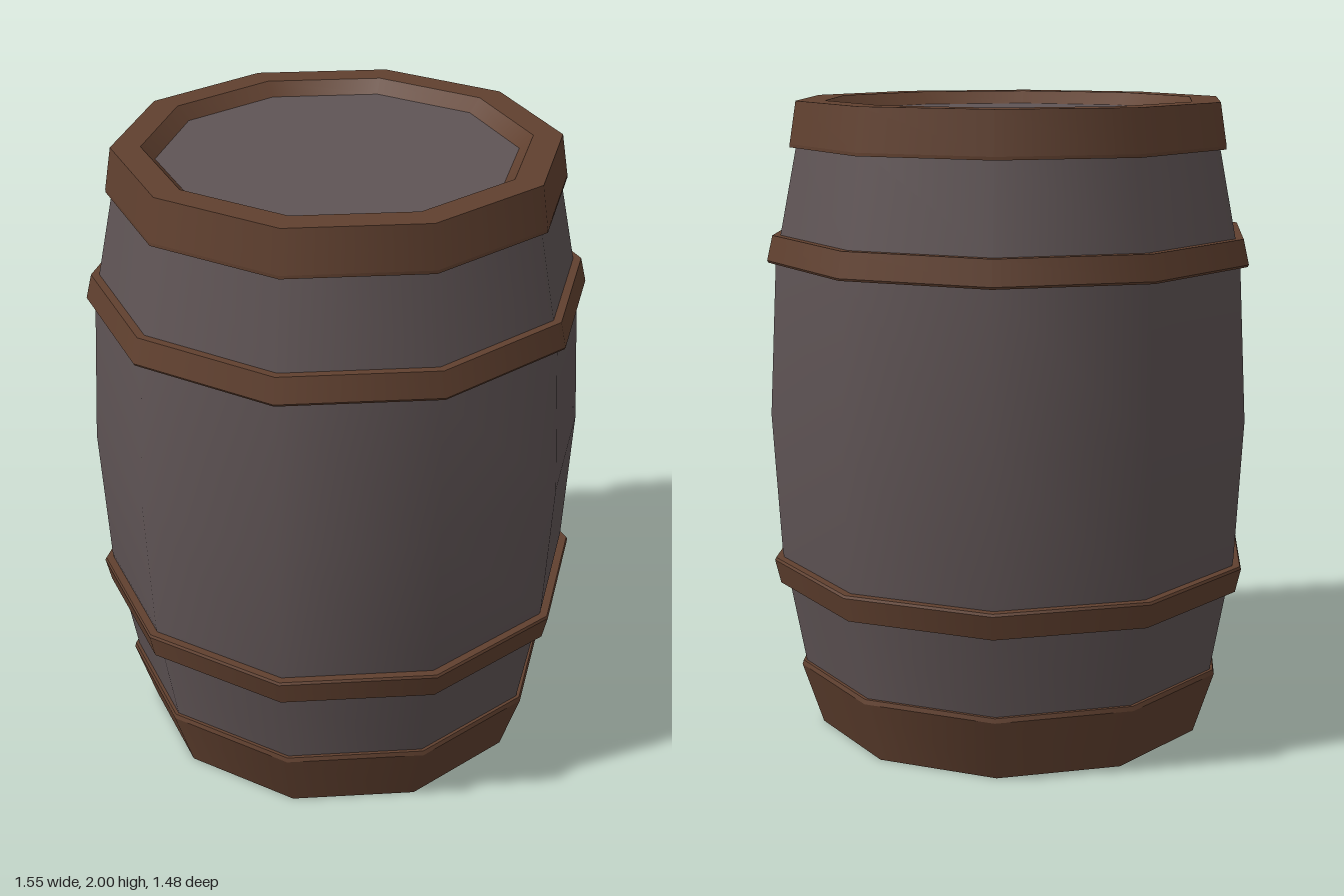
import * as THREE from 'three';
import { mergeGeometries } from 'three/addons/utils/BufferGeometryUtils.js';

const SIDES = 10;

// Ten-sided lathe with a corner on +x; profile points are [radius, y]
function lathe(points) {
  const profile = points.map(([r, y]) => new THREE.Vector2(r, y));
  return new THREE.LatheGeometry(profile, SIDES, Math.PI / 2);
}

// Ring whose profile edges stay sharp: one lathe strip per profile segment
function sharpRing(points) {
  const strips = [];
  for (let i = 0; i < points.length - 1; i++) strips.push(lathe([points[i], points[i + 1]]));
  return mergeGeometries(strips);
}

export function createModel() {
  const group = new THREE.Group();
  const wood = new THREE.MeshStandardMaterial({ color: 0x5f5455 });
  wood.name = 'greyWood';
  const band = new THREE.MeshStandardMaterial({ color: 0x60402f });
  band.name = 'rustyBrown';

  const add = (name, geometry, material) => {
    const mesh = new THREE.Mesh(geometry, material);
    mesh.name = name;
    group.add(mesh);
  };

  // Bulging staves
  add('staves', lathe([
    [0.675, 0.18], [0.733, 0.5], [0.75, 0.58], [0.775, 1.03],
    [0.75, 1.5], [0.733, 1.59], [0.675, 1.88],
  ]), wood);

  // Rims, with a bevel leading in to the recessed ends
  add('topRim', sharpRing([
    [0.66, 1.86], [0.698, 1.86], [0.698, 1.87], [0.677, 2], [0.587, 2], [0.546, 1.96],
  ]), band);
  add('bottomRim', sharpRing([
    [0.52, 0.04], [0.56, 0], [0.63, 0], [0.696, 0.2], [0.692, 0.214], [0.66, 0.214],
  ]), band);

  // Recessed ends
  add('topLid', lathe([[0.546, 1.96], [0, 1.96]]), wood);
  add('bottomLid', lathe([[0, 0.04], [0.52, 0.04]]), wood);

  // Hoops
  add('upperHoop', sharpRing([
    [0.72, 1.508], [0.772, 1.508], [0.776, 1.515], [0.758, 1.592], [0.72, 1.592],
  ]), band);
  add('lowerHoop', sharpRing([
    [0.72, 0.48], [0.758, 0.48], [0.776, 0.556], [0.772, 0.564], [0.72, 0.564],
  ]), band);

  return group;
}
